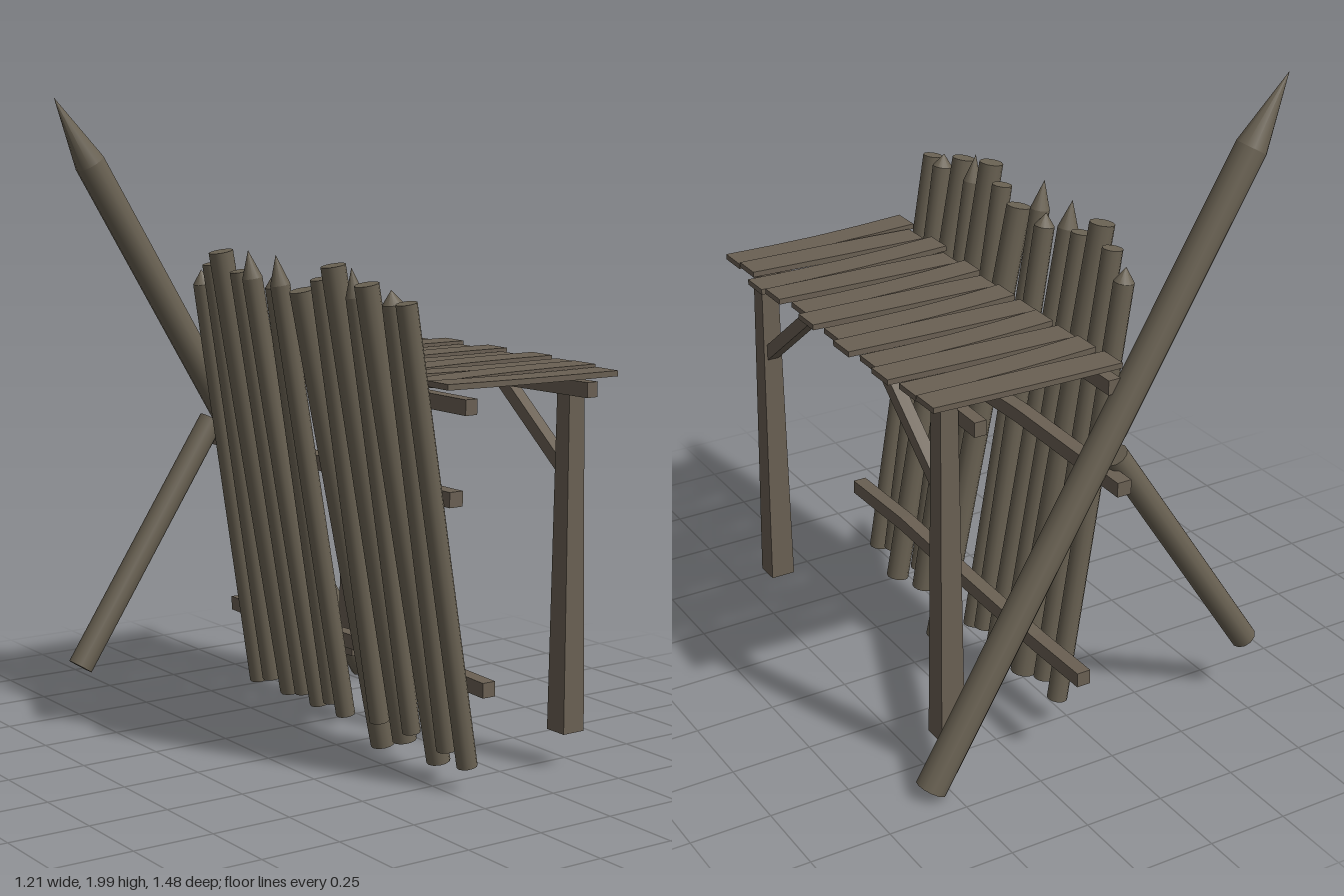
import * as THREE from 'three';
import { mergeGeometries } from 'three/addons/utils/BufferGeometryUtils.js';

const logWood = new THREE.MeshStandardMaterial({ color: 0x6a6253 });
logWood.name = 'log wood';
const sawnWood = new THREE.MeshStandardMaterial({ color: 0x6a6053 });
sawnWood.name = 'sawn wood';

// Round log from a to b, with an optional sharpened point at b
function log(name, a, b, r, tip = 0, taper = 1) {
  const from = new THREE.Vector3(...a), axis = new THREE.Vector3(...b).sub(from);
  const length = axis.length(), shaft = length - tip;
  const parts = [new THREE.CylinderGeometry(r * taper, r, shaft, 12).translate(0, shaft / 2, 0)];
  if (tip) parts.push(new THREE.ConeGeometry(r * taper, tip, 12, 1, true).translate(0, shaft + tip / 2, 0));
  const mesh = new THREE.Mesh(mergeGeometries(parts), logWood);
  mesh.name = name;
  mesh.position.copy(from);
  mesh.quaternion.setFromUnitVectors(new THREE.Vector3(0, 1, 0), axis.normalize());
  return mesh;
}

// Turn a reshaped box into a faceted mesh
function hewn(name, geometry, rule) {
  const p = geometry.attributes.position, v = new THREE.Vector3();
  for (let i = 0; i < p.count; i++) {
    rule(v.fromBufferAttribute(p, i));
    p.setXYZ(i, v.x, v.y, v.z);
  }
  const flat = geometry.toNonIndexed();
  flat.computeVertexNormals();
  const mesh = new THREE.Mesh(flat, sawnWood);
  mesh.name = name;
  return mesh;
}

// Squared timber following points [x, y, z] in order of rising z
function beam(name, points, w, h) {
  const n = points.length - 1;
  return hewn(name, new THREE.BoxGeometry(w, h, 1, 1, 1, n), (v) => {
    const [x, y, z] = points[Math.round((v.z + 0.5) * n)];
    v.set(v.x + x, v.y + y, z);
  });
}

export function createModel() {
  const model = new THREE.Group();
  model.name = 'palisade platform';

  // Leaning wall: z at foot, z at top, foot y, top y, radius, point length, foot x, top x
  const wall = new THREE.Group();
  wall.name = 'palisade';
  [
    [0.60, 0.60, 0.09, 1.45, 0.031, 0, 0.05, -0.175],
    [0.515, 0.52, 0.12, 1.48, 0.031, 0.04, 0.04, -0.17],
    [0.435, 0.43, 0.06, 1.49, 0.036, 0, 0.07, -0.19],
    [0.34, 0.34, 0.13, 1.53, 0.028, 0.085, 0.04, -0.18],
    [0.285, 0.255, 0.09, 1.53, 0.037, 0, 0.055, -0.185],
    [0.175, 0.175, 0.125, 1.485, 0.031, 0, 0.04, -0.175],
    [0.095, 0.085, 0.02, 1.445, 0.038, 0, 0.11, -0.18],
    [-0.015, 0.005, 0.10, 1.545, 0.03, 0.09, 0.045, -0.22],
    [-0.085, -0.085, 0.125, 1.48, 0.031, 0.04, 0.045, -0.17],
    [-0.16, -0.18, 0.10, 1.545, 0.031, 0.085, 0.045, -0.2],
    [-0.255, -0.26, 0.115, 1.475, 0.031, 0, 0.05, -0.18],
    [-0.335, -0.345, 0.10, 1.53, 0.038, 0, 0.055, -0.195],
    [-0.43, -0.43, 0.125, 1.485, 0.031, 0, 0.04, -0.175],
    [-0.515, -0.515, 0.10, 1.46, 0.031, 0.045, 0.045, -0.165],
  ].forEach(([z0, z1, y0, y1, r, tip, x0, x1], i) => {
    wall.add(log(`palisadeLog${i + 1}`, [x0, y0, z0], [x1, y1, z1], r, tip));
  });
  model.add(wall);

  // Great sharpened stake and the log propping it from behind
  model.add(log('greatStake', [0.56, 0.037, -0.65], [-0.604, 1.998, -0.645], 0.048, 0.235));
  model.add(log('propLog', [-0.545, 0.2, -0.65], [-0.05, 0.955, -0.65], 0.04));

  // Rails tying the wall together
  model.add(beam('upperRail', [
    [-0.024, 0.895, -0.74], [-0.024, 0.897, -0.49], [-0.02, 0.905, -0.2],
    [-0.02, 0.887, 0.3], [-0.024, 0.89, 0.635]], 0.046, 0.045));
  model.add(beam('lowerRail', [
    [0.1, 0.308, -0.74], [0.1, 0.304, -0.49], [0.105, 0.318, -0.1],
    [0.1, 0.328, 0.31], [0.1, 0.318, 0.635]], 0.044, 0.045));

  // Beams under the deck
  model.add(beam('innerDeckBeam', [
    [-0.05, 1.165, -0.64], [-0.055, 1.165, 0], [-0.05, 1.167, 0.735]], 0.04, 0.045));
  model.add(beam('outerDeckBeam', [
    [0.393, 1.15, -0.65], [0.395, 1.165, 0], [0.398, 1.178, 0.72]], 0.038, 0.045));

  // Posts, wider at the foot
  [[-0.543, 'backPost'], [0.568, 'frontPost']].forEach(([z, name]) => {
    model.add(hewn(name, new THREE.BoxGeometry(1, 1.085, 1), (v) => {
      const w = v.y > 0 ? 0.055 : 0.078;
      v.set(0.445 + v.x * w, v.y + 0.668, z + v.z * w);
    }));
  });

  // Diagonal braces between the posts and the deck
  model.add(beam('frontBrace', [[0.445, 1.18, 0.22], [0.445, 0.92, 0.55]], 0.038, 0.052));
  model.add(beam('backBrace', [[0.445, 0.92, -0.53], [0.445, 1.18, -0.2]], 0.038, 0.052));

  // Deck planks: z, inner end x, outer end x; each a little bowed and tilted
  const deck = new THREE.Group();
  deck.name = 'deck';
  [
    [0.645, -0.1, 0.52], [0.54, -0.075, 0.52], [0.425, -0.095, 0.55], [0.31, -0.07, 0.545],
    [0.2, -0.085, 0.515], [0.09, -0.075, 0.545], [-0.02, -0.075, 0.52], [-0.13, -0.08, 0.545],
    [-0.24, -0.07, 0.52], [-0.35, -0.075, 0.54], [-0.46, -0.075, 0.515], [-0.57, -0.09, 0.52],
  ].forEach(([z, x0, x1], i) => {
    const side = i % 2 ? 1 : -1;
    deck.add(hewn(`plank${i + 1}`, new THREE.BoxGeometry(1, 0.017, 0.094, 4, 1, 1), (v) => {
      const t = v.x, bow = Math.cos(t * Math.PI);
      v.set(
        x0 + (t + 0.5) * (x1 - x0),
        v.y + 1.217 + side * 0.008 * t + 0.003 * side * bow,
        z + v.z * (1 + 0.06 * bow * side) - 0.006 * bow + 0.004 * side * t,
      );
    }));
  });
  model.add(deck);

  return model;
}
